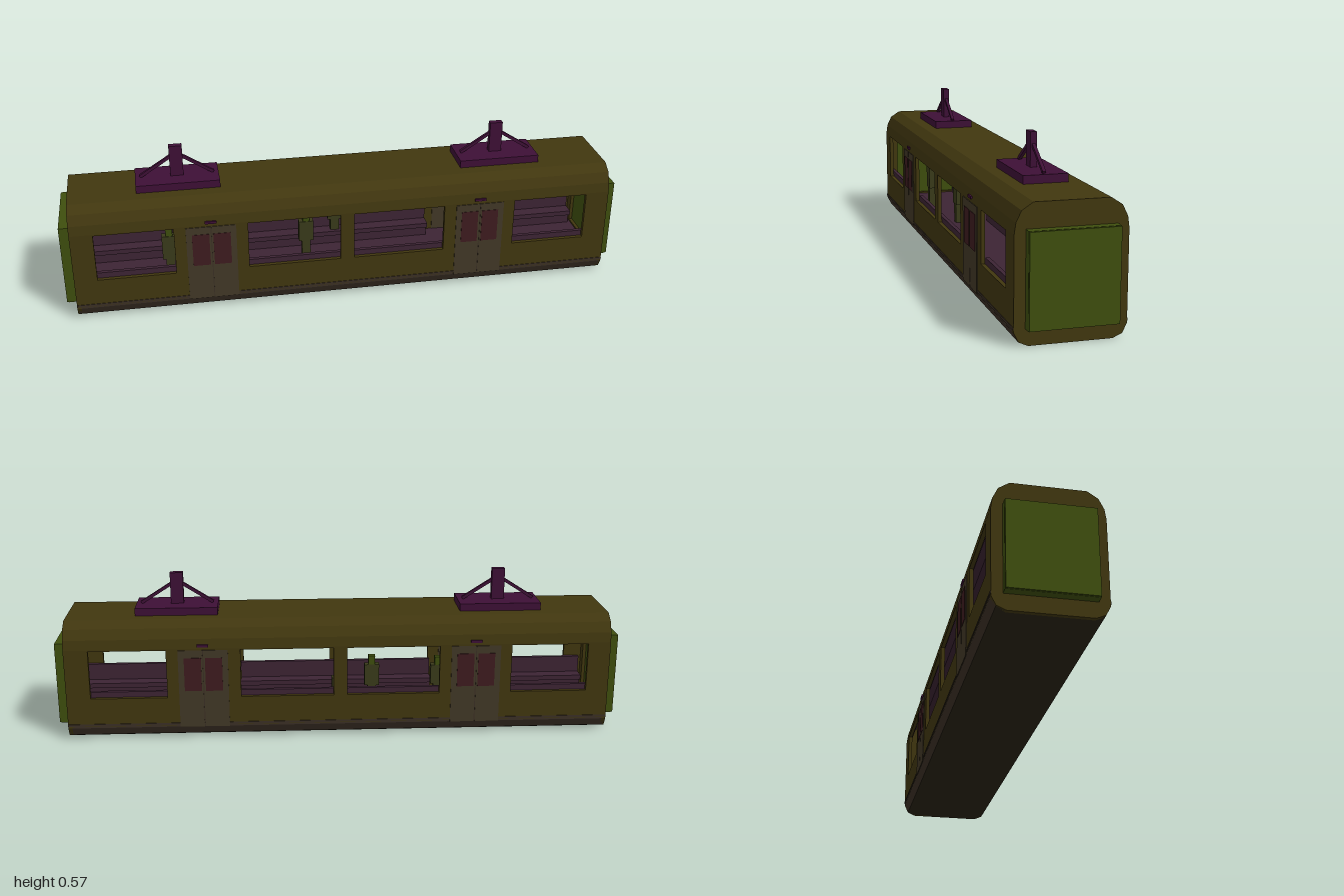
import * as THREE from 'three';

const mat = (name, color) => {
  const m = new THREE.MeshStandardMaterial({ color });
  m.name = name;
  return m;
};

export function createModel() {
  const M = {
    body: mat('olive body', 0x41370f),
    gangway: mat('green gangway', 0x3f4f0e),
    purple: mat('dark purple', 0x3e1036),
    door: mat('grey brown door', 0x423827),
    glass: mat('dark red glass', 0x3f1c1f),
    skirt: mat('brown grey skirt', 0x3b3025),
    under: mat('dark underside', 0x2a2416),
    interior: mat('mauve interior', 0x3d2434),
    person: mat('olive green figure', 0x3a3b1a),
  };
  const train = new THREE.Group();
  train.name = 'trainCar';

  const add = (parent, name, geo, material, x = 0, y = 0, z = 0) => {
    const m = new THREE.Mesh(geo, material);
    m.name = name;
    m.position.set(x, y, z);
    parent.add(m);
    return m;
  };
  // box given by its extents
  const box = (parent, name, material, x0, x1, y0, y1, z0, z1) =>
    add(parent, name, new THREE.BoxGeometry(x1 - x0, y1 - y0, z1 - z0), material,
      (x0 + x1) / 2, (y0 + y1) / 2, (z0 + z1) / 2);
  // mirror half a section [z, y] and sweep it along x
  const mirrored = half => [...half, ...half.slice().reverse().map(([z, y]) => [-z, y])];
  const toShape = pts => new THREE.Shape(pts.map(p => new THREE.Vector2(...p)));
  const sweep = (shape, length) => {
    const g = new THREE.ExtrudeGeometry(shape, { depth: length, bevelEnabled: false });
    g.translate(0, 0, -length / 2);
    g.rotateY(Math.PI / 2);
    return g;
  };
  const rectPath = (x0, x1, y0, y1) => new THREE.Path([
    new THREE.Vector2(x0, y0), new THREE.Vector2(x0, y1),
    new THREE.Vector2(x1, y1), new THREE.Vector2(x1, y0)]);

  const L = 0.965, W = 0.175, T = 0.014;
  const low = [[0.13, 0.002], [0.16, 0.015], [W, 0.045]];
  const high = [[W, 0.335], [0.17, 0.37], [0.153, 0.405], [0.118, 0.428]];
  const inner = [[W - T, 0.335], [0.157, 0.365], [0.143, 0.394], [0.113, 0.415]];

  // underside and skirt
  add(train, 'underside', sweep(toShape(mirrored([[0.13, 0.002], [0.16, 0.015]])), 2 * L - 0.01), M.under);
  add(train, 'skirt', sweep(toShape(mirrored([[0.16, 0.015], [W, 0.045], [W, 0.05]])), 2 * L - 0.01), M.skirt);
  box(train, 'floor', M.interior, -L + T, L - T, 0.05, 0.056, -W + T, W - T);

  // roof shell with a mauve ceiling
  const roofOuter = mirrored(high), roofInner = mirrored(inner).reverse();
  add(train, 'roof', sweep(toShape([...roofOuter, ...roofInner]), 2 * L - 0.01), M.body);
  const lining = inner.map(([z, y]) => [z - 0.003, y - 0.002]);
  add(train, 'ceiling', sweep(toShape([...mirrored(inner), ...mirrored(lining).reverse()]), 2 * L - 0.03), M.interior);

  // end walls with a doorway closed by the gangway
  const endShape = toShape(mirrored([...low, ...high]));
  endShape.holes.push(rectPath(-0.13, 0.13, 0.062, 0.34));
  for (const s of [-1, 1]) {
    const side = s > 0 ? 'left' : 'right';
    add(train, side + 'EndWall', sweep(endShape, T), M.body, s * (L - T / 2));
    const a = s * (L - 0.002), b = s * 0.994, c = s;
    box(train, side + 'Gangway', M.gangway, Math.min(a, b), Math.max(a, b), 0.055, 0.35, -0.14, 0.14);
    box(train, side + 'GangwayFace', M.gangway, Math.min(b, c), Math.max(b, c), 0.056, 0.349, -0.139, 0.139);
  }

  // side walls with open windows
  const windows = [[-0.885, -0.612], [-0.355, -0.027], [0.022, 0.35], [0.61, 0.88]];
  const wall = toShape([[-L + 0.005, 0.05], [L - 0.005, 0.05], [L - 0.005, 0.335], [-L + 0.005, 0.335]]);
  windows.forEach(([a, b]) => wall.holes.push(rectPath(a, b, 0.155, 0.33)));
  const wallGeo = new THREE.ExtrudeGeometry(wall, { depth: T, bevelEnabled: false });

  for (const s of [-1, 1]) {
    const side = new THREE.Group();
    side.name = s > 0 ? 'frontSide' : 'backSide';
    train.add(side);
    add(side, 'sideWall', wallGeo, M.body, 0, 0, s > 0 ? W - T : -W);
    const zMid = s * (W - T / 2);
    box(side, 'sillStrip', M.skirt, -L, L, 0.052, 0.06, s * W - 0.002, s * W + 0.002);

    // double doors, panes on both faces
    for (const cx of [-0.484, 0.481]) {
      for (const d of [-1, 1]) {
        const x = cx + d * 0.0445;
        add(side, 'doorLeaf', new THREE.BoxGeometry(0.086, 0.285, T + 0.005), M.door, x, 0.1875, zMid);
        add(side, 'doorPane', new THREE.BoxGeometry(0.06, 0.122, T + 0.008), M.glass, cx + d * 0.037, 0.241, zMid);
      }
      add(side, 'doorSeam', new THREE.BoxGeometry(0.004, 0.285, T + 0.002), M.skirt, cx, 0.1875, zMid);
      add(side, 'doorLamp', new THREE.BoxGeometry(0.04, 0.009, 0.008), M.purple, cx, 0.346, s * W);
    }

    // benches along the walls
    for (const [a, b] of [[-0.94, -0.61], [-0.36, 0.36], [0.61, 0.94]]) {
      const w = (b - a), x = (a + b) / 2;
      add(side, 'benchBase', new THREE.BoxGeometry(w, 0.04, 0.045), M.interior, x, 0.076, s * 0.138);
      add(side, 'benchSeat', new THREE.BoxGeometry(w, 0.018, 0.062), M.interior, x, 0.105, s * 0.13);
      add(side, 'benchBack', new THREE.BoxGeometry(w, 0.061, 0.014), M.interior, x, 0.1445, s * 0.153);
    }
  }

  // blocky passengers: legs, torso, head
  const passenger = (x, z, y0, top) => {
    const g = new THREE.Group();
    g.name = 'passenger';
    g.position.set(x, y0, z);
    train.add(g);
    const h = top - y0;
    box(g, 'legs', M.person, -0.016, 0.016, 0, h * 0.45, -0.012, 0.012);
    box(g, 'torso', M.person, -0.027, 0.027, h * 0.42, h * 0.83, -0.014, 0.014);
    box(g, 'head', M.gangway, -0.012, 0.012, h * 0.83, h, -0.012, 0.012);
  };
  passenger(-0.125, -0.02, 0.056, 0.25);
  passenger(-0.628, 0.05, 0.056, 0.28);
  passenger(0.0, -0.125, 0.114, 0.225);
  passenger(-0.372, 0, 0.056, 0.235);

  // pantographs
  for (const cx of [-0.583, 0.576]) {
    const p = new THREE.Group();
    p.name = 'pantograph';
    p.position.x = cx;
    train.add(p);
    box(p, 'base', M.purple, -0.146, 0.146, 0.426, 0.455, -0.073, 0.073);
    box(p, 'mast', M.purple, -0.023, 0.023, 0.455, 0.568, -0.011, 0.011);
    for (const s of [-1, 1]) {
      const dx = 0.125, dy = 0.08;
      const strut = add(p, 'strut', new THREE.BoxGeometry(Math.hypot(dx, dy), 0.011, 0.011),
        M.purple, s * 0.066, 0.497, 0);
      strut.rotation.z = -s * Math.atan2(dy, dx);
    }
  }
  return train;
}
